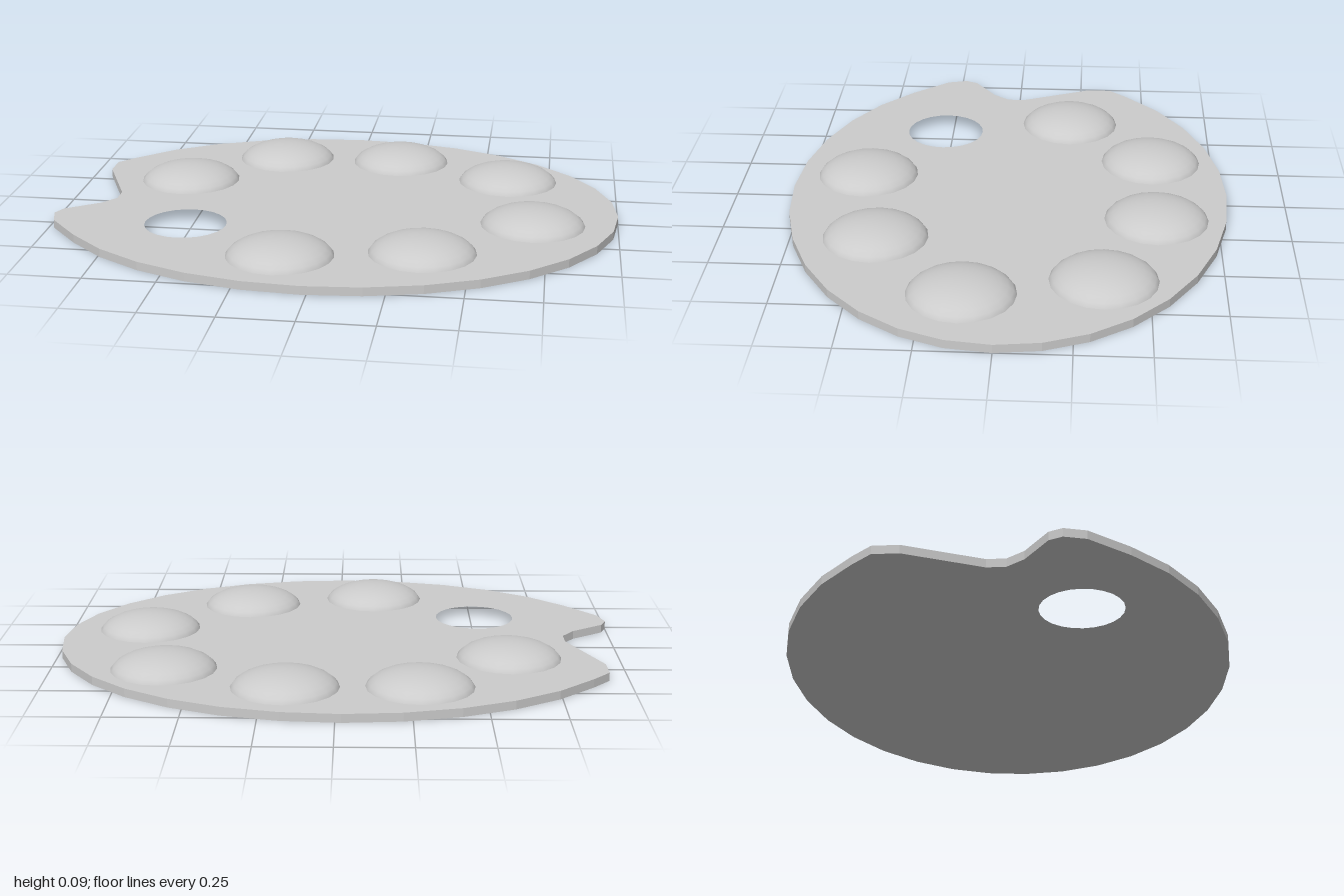
import * as THREE from 'three';

const BOARD_THICKNESS = 0.03;
const material = new THREE.MeshStandardMaterial({ color: 0xcccccc });

// Flat oval board with a thumb notch in its right edge and a thumb hole
function makeBoard() {
  const points = [];
  // oval rim, from the back of the notch round to the front of it
  for (let i = -13; i <= 13; i++) {
    const a = (i / 32) * Math.PI * 2;
    points.push([-0.02 + 1.02 * Math.cos(a), 0.79 * Math.sin(a)]);
  }
  // notch, from front to back, as x and z
  points.push(
    [-0.98, 0.305], [-1, 0.23], [-0.98, 0.185], [-0.865, 0.105], [-0.82, 0.045],
    [-0.82, -0.02], [-0.93, -0.28], [-0.93, -0.37]
  );
  const shape = new THREE.Shape(points.map(([x, z]) => new THREE.Vector2(x, -z)));

  const hole = new THREE.Path();
  hole.absarc(-0.51, -0.275, 0.145, 0, Math.PI * 2, true);
  shape.holes.push(hole);

  const geometry = new THREE.ExtrudeGeometry(shape, {
    depth: BOARD_THICKNESS, bevelEnabled: false, curveSegments: 12,
  });
  geometry.rotateX(-Math.PI / 2);
  const board = new THREE.Mesh(geometry, material);
  board.name = 'board';
  return board;
}

// Flattened domes of paint, sunk halfway into the board
function makePaintDabs() {
  const dabs = new THREE.Group();
  dabs.name = 'paintDabs';
  const geometry = new THREE.SphereGeometry(1, 20, 8, 0, Math.PI * 2, 0, Math.PI / 2);
  geometry.scale(0.187, 0.078, 0.187);
  const centres = [
    [-0.6, -0.21], [-0.28, -0.52], [0.17, -0.53], [0.595, -0.345],
    [0.7, 0.12], [0.34, 0.445], [-0.13, 0.53],
  ];
  centres.forEach(([x, z], i) => {
    const dab = new THREE.Mesh(geometry, material);
    dab.name = `paintDab${i + 1}`;
    dab.position.set(x, BOARD_THICKNESS / 2, z);
    dabs.add(dab);
  });
  return dabs;
}

export function createModel() {
  const palette = new THREE.Group();
  palette.name = 'paintPalette';
  palette.add(makeBoard(), makePaintDabs());
  return palette;
}
